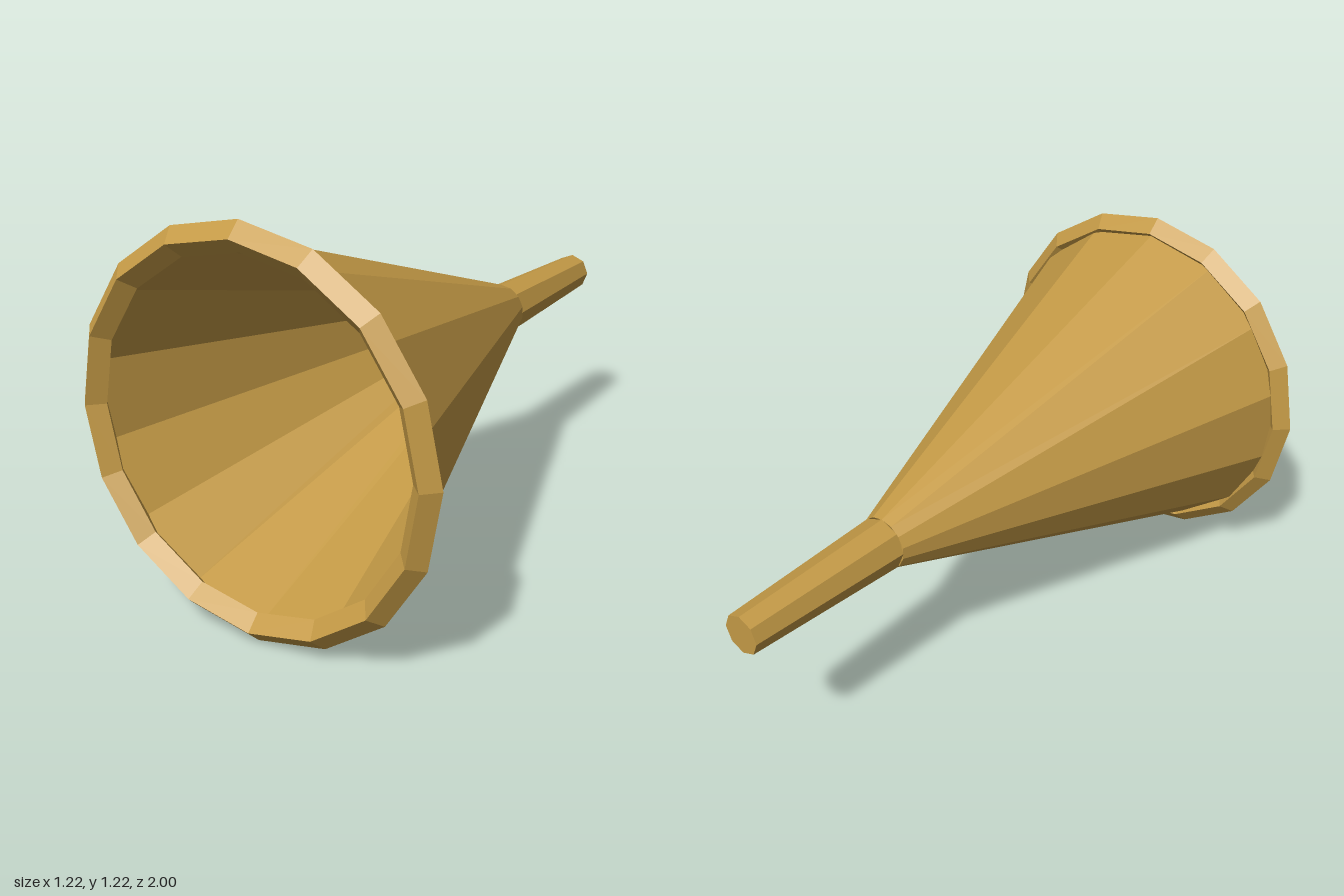
import * as THREE from 'three';

export function createModel() {
  const group = new THREE.Group();
  const axisY = 0.61;
  const brass = new THREE.MeshStandardMaterial({ color: 0xc49a46, flatShading: true });
  const brassThin = brass.clone();
  brassThin.side = THREE.DoubleSide;

  const add = (name, geometry, material, z) => {
    const mesh = new THREE.Mesh(geometry, material);
    mesh.name = name;
    mesh.position.set(0, axisY, z);
    group.add(mesh);
  };

  // Tapered tube along z, wide end facing the front
  const taper = (frontR, backR, zFront, zBack, sides, open) =>
    new THREE.CylinderGeometry(frontR, backR, zFront - zBack, sides, 1, open).rotateX(Math.PI / 2);

  // Thin open bell, visible inside and out
  add('bell', taper(0.565, 0.087, 0.956, -0.435, 14, true), brassThin, (0.956 - 0.435) / 2);

  // Closed octagonal stem behind the bell
  add('stem', taper(0.087, 0.065, -0.435, -1, 8, false), brass, (-0.435 - 1) / 2);

  // Diamond-section rim around the mouth
  add('rim', new THREE.TorusGeometry(0.565, 0.044, 4, 16), brass, 0.956);

  return group;
}
